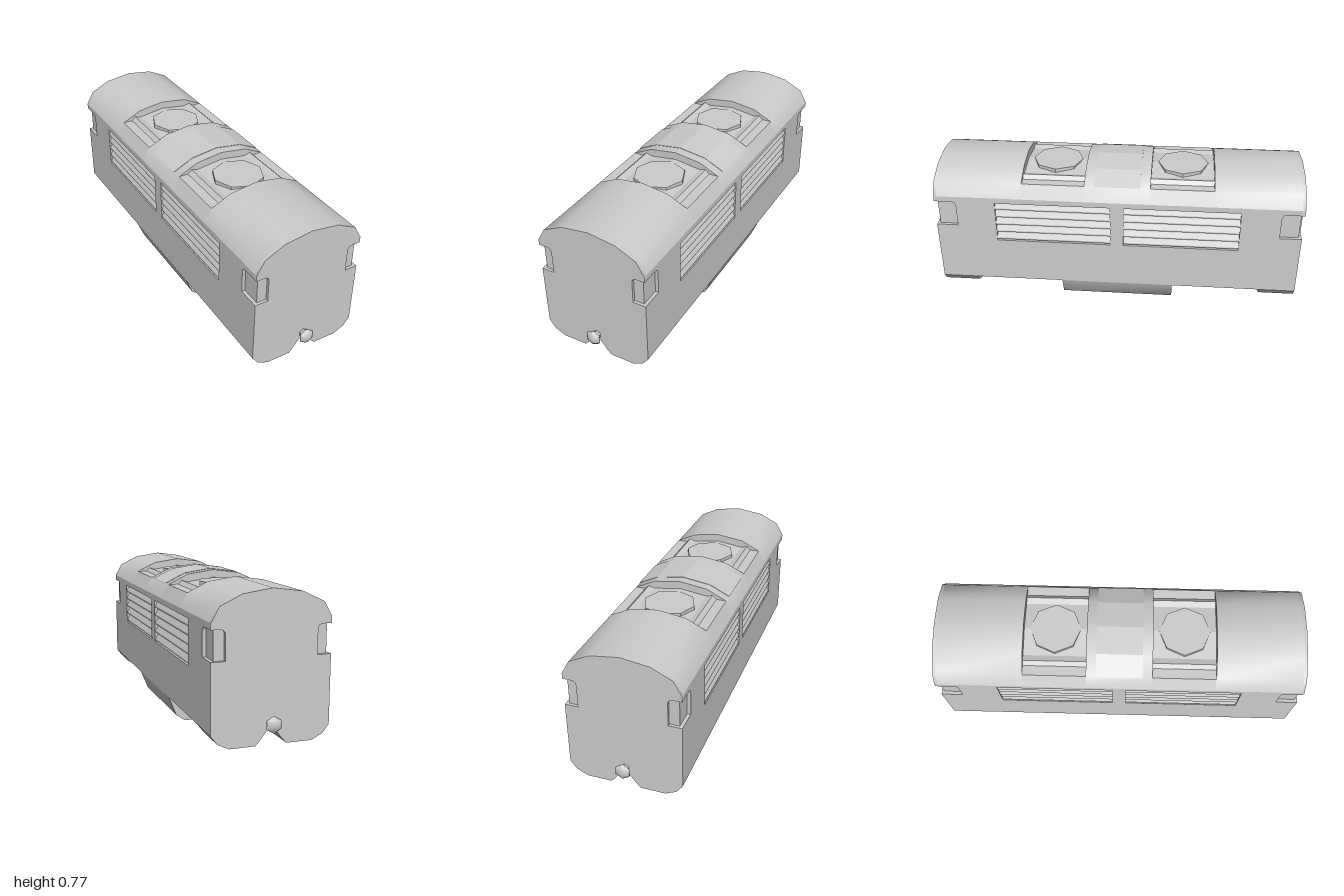
import * as THREE from 'three';
import { toCreasedNormals } from 'three/addons/utils/BufferGeometryUtils.js';

const W = 0.287, INNER = 0.27, END = 0.953, CORE = 0.938;

export function createModel() {
  const model = new THREE.Group();
  const material = new THREE.MeshStandardMaterial({ color: 0xcccccc });

  function add(name, geometry) {
    const mesh = new THREE.Mesh(geometry, material);
    mesh.name = name;
    model.add(mesh);
    return mesh;
  }
  const toShape = pts => new THREE.Shape(pts.map(p => new THREE.Vector2(p[0], p[1])));
  // Closes a right-hand half profile with its mirror image
  const mirror = pts => [...pts, ...pts.filter(p => p[0] > 0).reverse().map(([x, y]) => [-x, y])];
  // Extrudes an x/y section between two z positions
  function prism(name, shape, z0, z1, crease = 0.7) {
    const g = new THREE.ExtrudeGeometry(shape, { depth: z1 - z0, bevelEnabled: false, curveSegments: 4 });
    g.translate(0, 0, z0);
    return add(name, toCreasedNormals(g, crease));
  }

  // Inner body
  const core = new THREE.BoxGeometry(INNER * 2, 0.5, CORE * 2);
  core.translate(0, 0.38, 0);
  add('bodyCore', core);

  // Symmetric panel with rounded window notches cut into both upright edges
  function notchedPanel(half, inner, top) {
    const r = 0.025, s = new THREE.Shape();
    s.moveTo(-half, 0.13);
    s.lineTo(half, 0.13);
    s.lineTo(half, 0.46);
    s.lineTo(inner, 0.46);
    s.lineTo(inner, 0.6 - r);
    s.quadraticCurveTo(inner, 0.6, inner + r, 0.6);
    s.lineTo(half, 0.6);
    top.forEach(([x, y]) => s.lineTo(x, y));
    s.lineTo(-half, 0.6);
    s.lineTo(-inner - r, 0.6);
    s.quadraticCurveTo(-inner, 0.6, -inner, 0.6 - r);
    s.lineTo(-inner, 0.46);
    s.lineTo(-half, 0.46);
    return s;
  }

  // End walls, including the arched top
  const arch = [[W, 0.63], [0.247, 0.7], [0.143, 0.75], [0, 0.77]];
  const roof = mirror(arch);
  const endShape = notchedPanel(W, 0.22, roof);
  prism('frontWall', endShape, CORE, END);
  prism('backWall', endShape, -END, -CORE);

  // Side walls with openings for the grilles
  const sideShape = notchedPanel(CORE, 0.84, [[CORE, 0.63], [-CORE, 0.63]]);
  for (const s of [-1, 1]) {
    const a = s * 0.035, b = s * 0.635;
    sideShape.holes.push(new THREE.Path([[a, 0.375], [b, 0.375], [b, 0.6], [a, 0.6]]
      .map(p => new THREE.Vector2(...p))));
  }
  for (const side of [-1, 1]) {
    const g = new THREE.ExtrudeGeometry(sideShape, { depth: W - INNER, bevelEnabled: false, curveSegments: 4 });
    g.rotateY(Math.PI / 2);
    g.translate(side > 0 ? INNER : -W, 0, 0);
    add(side > 0 ? 'leftWall' : 'rightWall', toCreasedNormals(g, 0.7));

    // Grille slats
    for (const s of [-1, 1]) {
      for (let i = 0; i < 5; i++) {
        const y = 0.378 + i * 0.045;
        const slat = toShape([[INNER - 0.002, y], [0.284, y + 0.004], [0.284, y + 0.012], [INNER - 0.002, y + 0.04]]
          .map(([x, v]) => [side * x, v]));
        prism('grilleSlat', slat, s > 0 ? 0.035 : -0.635, s > 0 ? 0.635 : -0.035, 0.2);
      }
    }
  }

  // Roof arches, between the two fan bays
  const roofShape = toShape(roof);
  prism('rearRoof', roofShape, -CORE, -0.495);
  prism('middleRoof', roofShape, -0.17, 0.17);
  prism('frontRoof', roofShape, 0.495, CORE);

  // Thin hatch over the middle of the roof
  const hatch = mirror([[0.25, 0.701], [0.143, 0.752], [0, 0.772]]);
  prism('roofHatch', toShape(hatch), -0.118, 0.118, 0.1);

  // Fan bays: sunken floor with a rail on each side, and an octagonal fan cover
  const bay = toShape(mirror([[W, 0.63], [0.247, 0.7], [0.196, 0.7], [0.175, 0.72], [0.143, 0.71], [0, 0.73]]));
  for (const s of [-1, 1]) {
    prism('fanBay', bay, s > 0 ? 0.17 : -0.495, s > 0 ? 0.495 : -0.17, 0.15);
    const fan = new THREE.CylinderGeometry(0.132, 0.132, 0.03, 8).toNonIndexed();
    fan.computeVertexNormals();
    fan.translate(0, 0.717, s * 0.333);
    add('fanCover', fan);
  }

  // Lower skirts: a deep pair in the middle, a shallow pair at each end
  const deep = [[0.02, 0.13], [0.05, 0.09], [0.087, 0], [0.2, 0], [0.247, 0.032], [W, 0.13]];
  const shallow = [[0.02, 0.13], [0.05, 0.09], [0.075, 0.062], [0.2, 0.062], [0.255, 0.088], [W, 0.13]];
  for (const side of [-1, 1]) {
    const half = pts => toShape(pts.map(([x, y]) => [side * x, y]));
    prism('middleSkirt', half(deep), -0.298, 0.298);
    prism('frontSkirt', half(shallow), 0.768, END);
    prism('backSkirt', half(shallow), -END, -0.768);
  }

  // Six-sided coupling knobs
  const knob = [[0.024, -0.01], [0.022, 0.008], [0.04, 0.026], [0.04, 0.033], [0.026, 0.044], [0, 0.047]]
    .map(p => new THREE.Vector2(...p));
  for (const s of [-1, 1]) {
    const g = new THREE.LatheGeometry(knob, 6);
    g.rotateX(s * Math.PI / 2);
    g.translate(0, 0.163, s * END);
    add(s > 0 ? 'frontCoupling' : 'backCoupling', toCreasedNormals(g, 1.1));
  }
  return model;
}
